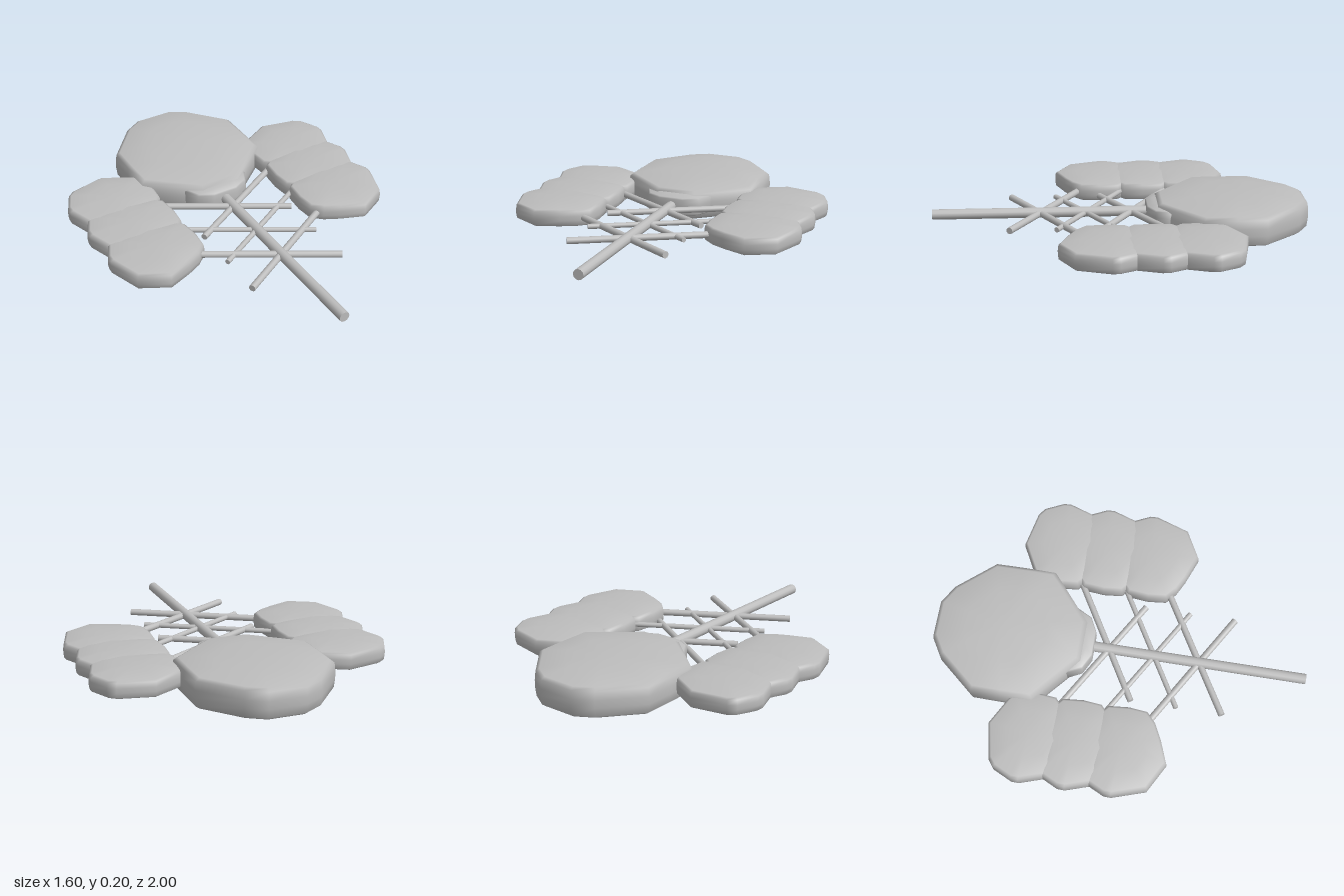
import * as THREE from 'three';

// Puffy slab: a closed [x, z] outline stacked in rings, rounded at the rim
function puff(outline, yBottom, yTop, rimDrop, material, name) {
  const n = outline.length;
  const cx = outline.reduce((s, p) => s + p[0], 0) / n;
  const cz = outline.reduce((s, p) => s + p[1], 0) / n;
  const h = yTop - yBottom;
  // [scale, height] from bottom to top
  const rings = [
    [0.55, yBottom], [0.93, yBottom + rimDrop * 0.6], [0.985, yBottom + rimDrop], [1, yBottom + h * 0.4],
    [1, yTop - h * 0.4], [0.985, yTop - rimDrop], [0.93, yTop - rimDrop * 0.6], [0.55, yTop],
  ];
  const pos = [], index = [];
  for (const [s, y] of rings)
    for (const [x, z] of outline) pos.push(cx + (x - cx) * s, y, cz + (z - cz) * s);
  pos.push(cx, yBottom, cz, cx, yTop, cz);
  const low = rings.length * n, high = low + 1, last = (rings.length - 1) * n;
  // Outline runs from +x towards -z, which is counter-clockwise from above
  for (let i = 0; i < n; i++) {
    const j = (i + 1) % n;
    for (let r = 0; r < rings.length - 1; r++) {
      const a = r * n + i, b = r * n + j;
      index.push(a, b, b + n, a, b + n, a + n);
    }
    index.push(low, j, i, high, last + i, last + j);
  }
  const geometry = new THREE.BufferGeometry();
  geometry.setAttribute('position', new THREE.Float32BufferAttribute(pos, 3));
  geometry.setIndex(index);
  geometry.computeVertexNormals();
  const mesh = new THREE.Mesh(geometry, material);
  mesh.name = name;
  return mesh;
}

// Round rod between two points
function rod(from, to, radius, material, name) {
  const a = new THREE.Vector3(...from), b = new THREE.Vector3(...to);
  const dir = b.clone().sub(a);
  const mesh = new THREE.Mesh(new THREE.CylinderGeometry(radius, radius, dir.length(), 12), material);
  mesh.position.copy(a).add(b).multiplyScalar(0.5);
  mesh.quaternion.setFromUnitVectors(new THREE.Vector3(0, 1, 0), dir.normalize());
  mesh.name = name;
  return mesh;
}

export function createModel() {
  const model = new THREE.Group();
  model.name = 'leafSprig';
  const grey = new THREE.MeshStandardMaterial({ color: 0xbdbdbd });
  grey.name = 'plain grey';

  // Main stem
  model.add(rod([0, 0.105, 1], [0, 0.105, -0.3], 0.028, grey, 'stem'));

  // Large end leaf, with the lip where it meets the stem
  const half = [[0.11, -0.19], [0.37, -0.41], [0.372, -0.58], [0.37, -0.74], [0.2, -0.94], [0.1, -1]];
  const mirrorOutline = pts => [...pts, ...pts.map(([x, z]) => [-x, z]).reverse()];
  model.add(puff(mirrorOutline(half), 0, 0.2, 0.035, grey, 'endLeaf'));
  const lip = [[0.07, -0.14], [0.15, -0.18], [0.19, -0.26], [0.1, -0.32]];
  model.add(puff(mirrorOutline(lip), 0.045, 0.165, 0.02, grey, 'endLeafLip'));

  // Three pairs of side leaves on crossing twigs
  const leaf = [
    [0.59, 0.34], [0.74, 0.26], [0.8, 0.08], [0.798, 0.04], [0.75, -0.06], [0.71, -0.09], [0.52, -0.13],
    [0.37, -0.05], [0.325, -0.01], [0.315, 0.1], [0.325, 0.2], [0.38, 0.25], [0.46, 0.29],
  ];
  const twigRadius = [0.018, 0.014, 0.017];
  for (const side of [1, -1]) {
    const sideName = side > 0 ? 'left' : 'right';
    for (let i = 0; i < 3; i++) {
      const shift = -0.243 * i;
      let outline = leaf.map(([x, z]) => [x * side, z + shift]);
      if (side < 0) outline = outline.reverse();
      model.add(puff(outline, 0.045, 0.16, 0.02, grey, `${sideName}Leaf${i + 1}`));
      model.add(rod([side * 0.42, 0.102, 0.18 + shift], [-side * 0.27, 0.102, 0.585 + shift],
        twigRadius[i], grey, `${sideName}Twig${i + 1}`));
    }
  }
  return model;
}
